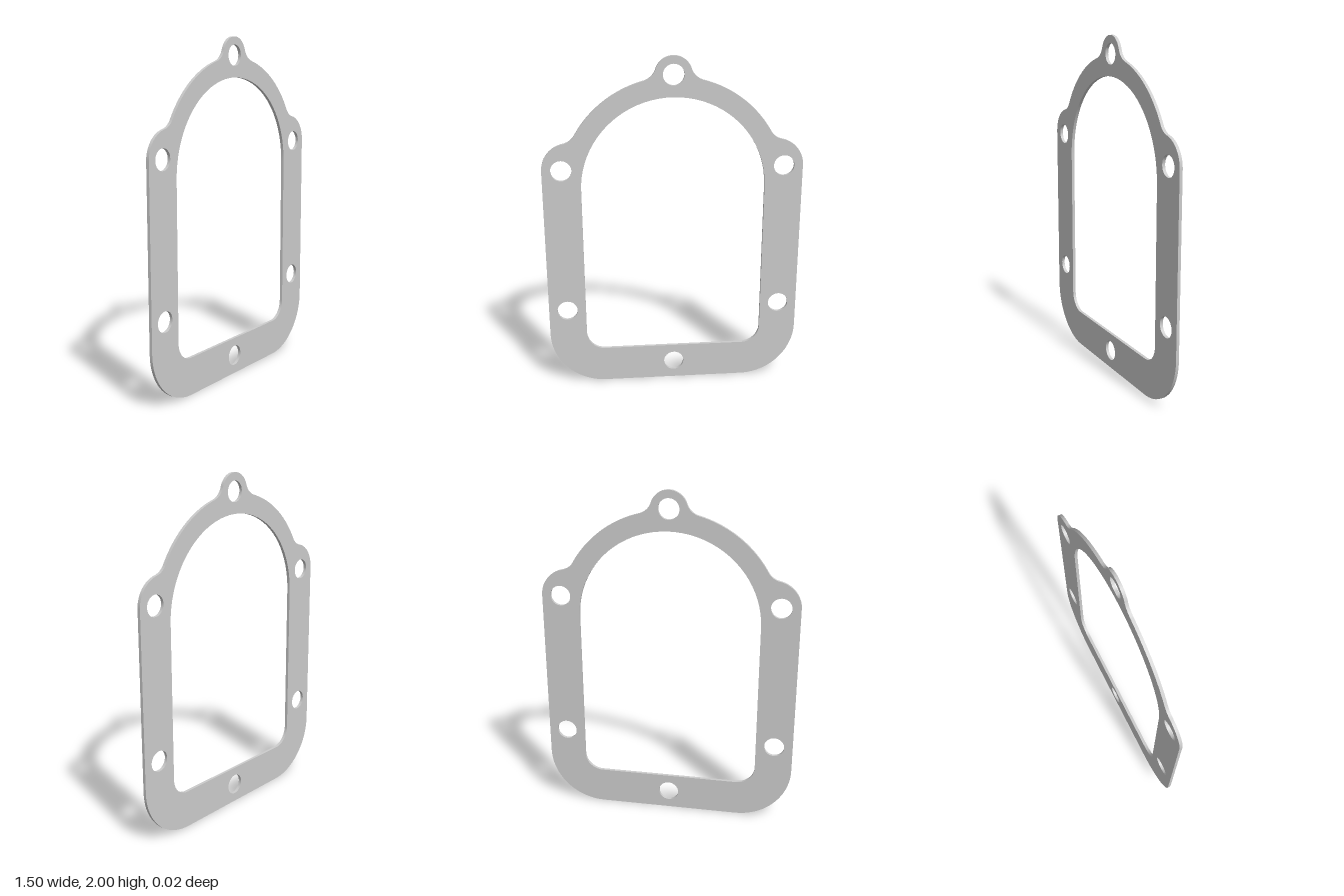
import * as THREE from 'three';
import { toCreasedNormals } from 'three/addons/utils/BufferGeometryUtils.js';

const THICKNESS = 0.018;
const arc = (x, y, r, from, to, cw = false) => ({ x, y, r, from, to, cw });
const angle = (a, b) => Math.atan2(b.y - a.y, b.x - a.x);

// Centre of a circle of radius r touching circles a and b from outside, on the left of a -> b or the right
function filletCentre(a, b, r, side) {
  const d = Math.hypot(b.x - a.x, b.y - a.y), ra = a.r + r, rb = b.r + r;
  const along = (ra * ra - rb * rb + d * d) / (2 * d);
  const off = side * Math.sqrt(ra * ra - along * along);
  const ux = (b.x - a.x) / d, uy = (b.y - a.y) / d;
  return { x: a.x + ux * along - uy * off, y: a.y + uy * along + ux * off, r };
}

// Points of the right-hand arcs followed by their mirror image, without doubled points
function mirroredOutline(arcs) {
  const half = [];
  for (const a of arcs) {
    const curve = new THREE.EllipseCurve(a.x, a.y, a.r, a.r, a.from, a.to, a.cw);
    for (const p of curve.getPoints(20)) {
      if (!half.length || p.distanceTo(half[half.length - 1]) > 1e-4) half.push(p);
    }
  }
  const left = half.filter(p => p.x > 1e-4).reverse().map(p => new THREE.Vector2(-p.x, p.y));
  return half.concat(left);
}

export function createModel() {
  const group = new THREE.Group();
  group.name = 'gasket';

  // Circles that make up the outer edge
  const arch = { x: 0, y: 1.24, r: 0.645 };
  const topLug = { x: 0, y: 1.895, r: 0.105 };
  const sideLug = { x: 0.59, y: 1.36, r: 0.16 };
  const f1 = filletCentre(sideLug, arch, 0.1, -1);
  const f2 = filletCentre(arch, topLug, 0.1, -1);

  const outer = mirroredOutline([
    arc(0.42, 0.33, 0.33, -Math.PI / 2, 0),
    arc(sideLug.x, sideLug.y, sideLug.r, 0, angle(sideLug, f1)),
    arc(f1.x, f1.y, f1.r, angle(f1, sideLug), angle(f1, arch), true),
    arc(arch.x, arch.y, arch.r, angle(arch, f1), angle(arch, f2)),
    arc(f2.x, f2.y, f2.r, angle(f2, arch), angle(f2, topLug), true),
    arc(topLug.x, topLug.y, topLug.r, angle(topLug, f2), Math.PI / 2),
  ]);
  const shape = new THREE.Shape(outer);

  // Arched opening
  shape.holes.push(new THREE.Path(mirroredOutline([
    arc(0.42, 0.33, 0.11, -Math.PI / 2, 0),
    arc(0, 1.24, 0.53, 0, Math.PI / 2),
  ])));

  // Bolt holes
  for (const [x, y] of [[0, 1.895], [0.64, 1.36], [-0.64, 1.36], [0.64, 0.485], [-0.64, 0.485], [0, 0.112]]) {
    const circle = new THREE.EllipseCurve(x, y, 0.06, 0.06, 0, Math.PI * 2);
    shape.holes.push(new THREE.Path(circle.getPoints(40).slice(0, -1)));
  }

  // Thin flat plate, centred on z = 0
  const geometry = new THREE.ExtrudeGeometry(shape, { depth: THICKNESS, bevelEnabled: false });
  geometry.translate(0, 0, -THICKNESS / 2);
  const plate = new THREE.Mesh(
    toCreasedNormals(geometry, Math.PI / 6),
    new THREE.MeshStandardMaterial({ color: 0xcccccc }),
  );
  plate.name = 'gasketPlate';
  group.add(plate);
  return group;
}
